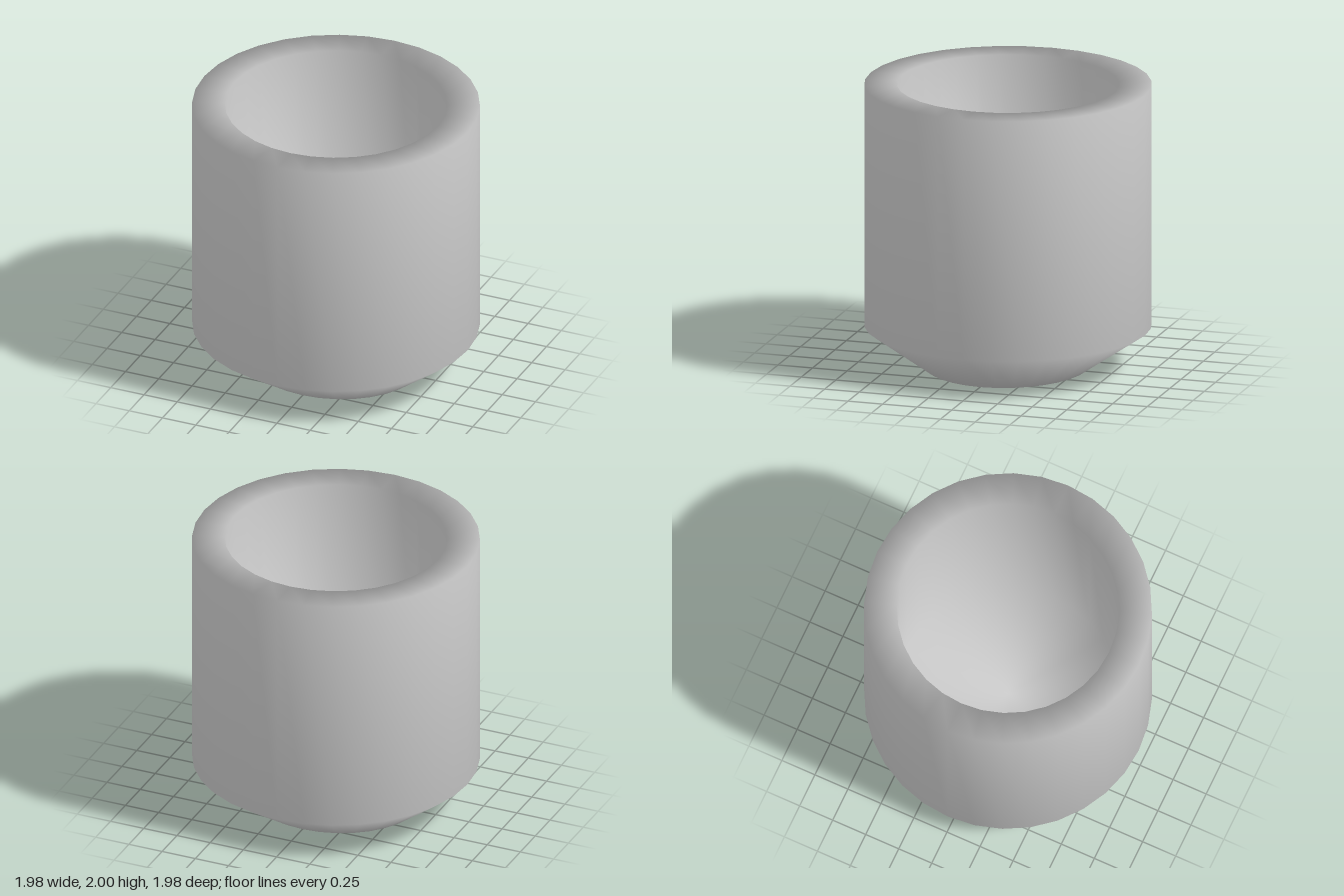
import * as THREE from 'three';

export function createModel() {
  const group = new THREE.Group();
  const material = new THREE.MeshStandardMaterial({ color: 0xcccccc });

  // One closed profile: underside, chamfer, outer wall, rim, cavity wall, floor
  const profile = [
    [0, 0], [0.62, 0], [0.99, 0.29], [0.99, 2],
    [0.765, 2], [0.765, 0.29], [0, 0.29],
  ].map(([r, y]) => new THREE.Vector2(r, y));
  const geometry = new THREE.LatheGeometry(profile, 32);

  // The foot is slightly narrower from front to back
  const pos = geometry.attributes.position;
  for (let i = 0; i < pos.count; i++) {
    if (pos.getY(i) < 0.01) pos.setZ(i, pos.getZ(i) * 0.91);
  }

  const cup = new THREE.Mesh(geometry, material);
  cup.name = 'cup';
  group.add(cup);
  return group;
}
